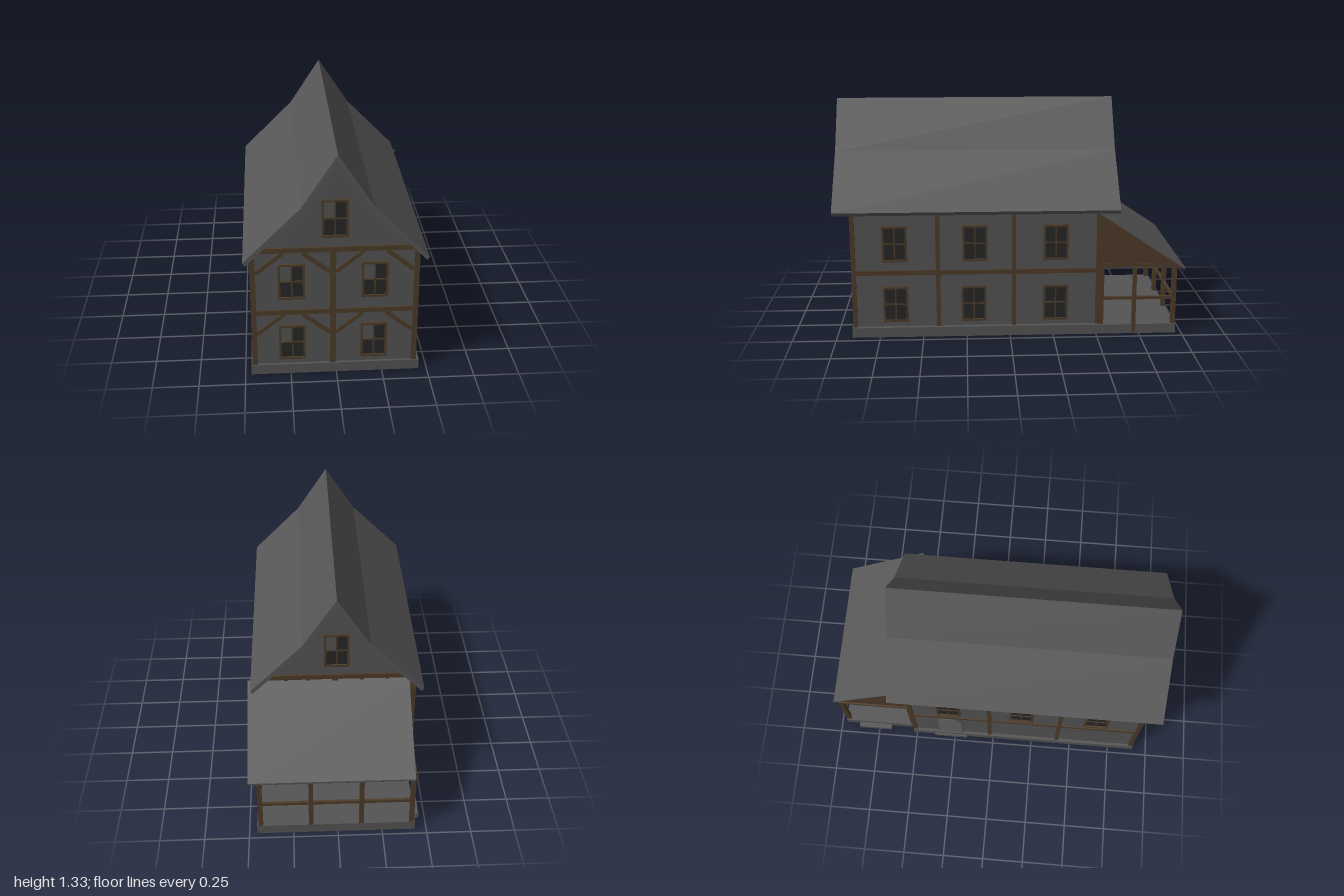
import * as THREE from 'three';

const mat = (name, color, side = THREE.FrontSide) => {
  const m = new THREE.MeshStandardMaterial({ color, side });
  m.name = name;
  return m;
};

export function createModel() {
  const stone = mat('stone grey', 0x545454);
  const plaster = mat('plaster grey', 0x545454);
  const shingle = mat('roof grey', 0x565656);
  const timber = mat('timber brown', 0x4d3c29);
  const glass = mat('dark glass', 0x262626);
  const doorGrey = mat('door grey', 0x666666);

  const model = new THREE.Group();
  model.name = 'timberHouse';

  const add = (parent, name, geo, m) => {
    const mesh = new THREE.Mesh(geo, m);
    mesh.name = name;
    parent.add(mesh);
    return mesh;
  };
  // Box from its min and max corners
  const box = (parent, name, m, x0, x1, y0, y1, z0, z1) => {
    const mesh = add(parent, name, new THREE.BoxGeometry(x1 - x0, y1 - y0, z1 - z0), m);
    mesh.position.set((x0 + x1) / 2, (y0 + y1) / 2, (z0 + z1) / 2);
    return mesh;
  };
  const shapeOf = pts => new THREE.Shape(pts.map(p => new THREE.Vector2(...p)));
  const extrude = (shape, depth) =>
    new THREE.ExtrudeGeometry(shape, { depth, bevelEnabled: false, curveSegments: 12 });
  // Profile of [z, y] points extruded along x
  const extrudeX = (pts, x0, x1) =>
    extrude(shapeOf(pts.map(([z, y]) => [-z, y])), x1 - x0).rotateY(Math.PI / 2).translate(x0, 0, 0);
  // Group whose local xy plane lies on one wall, local z pointing outward
  const facade = (name, x, z, turn) => {
    const g = new THREE.Group();
    g.name = name;
    g.position.set(x, 0, z);
    g.rotation.y = turn;
    model.add(g);
    return g;
  };
  // Slanted timber between two points of a facade
  const brace = (g, x0, y0, x1, y1) => {
    const m = add(g, 'brace', new THREE.BoxGeometry(Math.hypot(x1 - x0, y1 - y0), 0.022, 0.016), timber);
    m.position.set((x0 + x1) / 2, (y0 + y1) / 2, 0);
    m.rotation.z = Math.atan2(y1 - y0, x1 - x0);
  };
  // Four-pane window; the upper left pane can be left empty
  const windowAt = (g, cx, y0, h, w = 0.143, emptyPane = false) => {
    const win = new THREE.Group();
    win.name = 'window';
    win.position.set(cx, y0 + h / 2, 0);
    g.add(win);
    const X = w / 2, Y = h / 2, f = 0.012;
    for (const s of [-1, 1]) {
      box(win, 'frameSide', timber, s * (X - f / 2) - f / 2, s * (X - f / 2) + f / 2, -Y, Y, -0.005, 0.014);
      box(win, 'frameRail', timber, -X + f, X - f, s * (Y - f / 2) - f / 2, s * (Y - f / 2) + f / 2, -0.005, 0.014);
      for (const t of [-1, 1]) {
        if (emptyPane && s < 0 && t > 0) continue;
        box(win, 'pane', glass, Math.min(0, s * (X - f)), Math.max(0, s * (X - f)),
          Math.min(0, t * (Y - f)), Math.max(0, t * (Y - f)), -0.003, 0.004);
      }
    }
    box(win, 'mullion', timber, -0.004, 0.004, -Y + f, Y - f, -0.004, 0.009);
    box(win, 'transom', timber, -X + f, X - f, -0.004, 0.004, -0.004, 0.009);
  };
  // Round-topped door
  const door = (g, name, m, cx, y0, w, h, depth) => {
    const r = w / 2, s = new THREE.Shape();
    s.moveTo(-r, 0);
    s.lineTo(r, 0);
    s.lineTo(r, h - r);
    s.absarc(0, h - r, r, 0, Math.PI, false);
    s.closePath();
    add(g, name, extrude(s, depth), m).position.set(cx, y0, 0);
  };

  // Foundation, steps and porch floor
  box(model, 'foundation', stone, -0.467, 0.455, 0, 0.058, -0.52, 0.91);
  box(model, 'porchFloor', stone, -0.435, 0.455, 0, 0.056, -0.965, -0.52);
  box(model, 'porchStep', stone, -0.465, -0.435, 0, 0.03, -0.88, -0.67);
  box(model, 'doorStep', stone, -0.478, -0.467, 0, 0.03, -0.38, -0.17);

  // House body with gables
  const body = shapeOf([[-0.45, 0.05], [0.43, 0.05], [0.43, 0.765], [0.17, 1.025],
    [-0.005, 1.295], [-0.18, 1.025], [-0.45, 0.765]]);
  add(model, 'walls', extrude(body, 1.405), plaster).position.z = -0.51;

  // Kinked roof
  const roof = shapeOf([[-0.492, 0.742], [-0.48, 0.722], [-0.177, 1.02], [-0.005, 1.287], [0.167, 1.02],
    [0.462, 0.728], [0.472, 0.748], [0.182, 1.042], [-0.005, 1.325], [-0.19, 1.042]]);
  add(model, 'roof', extrude(roof, 1.625), shingle).position.z = -0.625;

  // Front and back timber framing
  const front = facade('frontWall', -0.01, 0.895, 0);
  const back = facade('backWall', -0.01, -0.51, Math.PI);
  for (const g of [front, back]) {
    box(g, 'topBeam', timber, -0.45, 0.45, 0.742, 0.77, -0.02, 0.011);
    box(g, 'middleBeam', timber, -0.435, 0.435, 0.37, 0.397, -0.02, 0.01);
    box(g, 'centrePost', timber, -0.026, 0.006, 0.058, 0.742, -0.02, 0.011);
    for (const y of [0.372, 0.744]) {
      for (const [post, s] of [[-0.42, 1], [-0.026, -1], [0.006, 1], [0.42, -1]]) {
        brace(g, post, y - 0.122, post + s * 0.145, y - 0.006);
      }
    }
    windowAt(g, 0, 0.827, 0.213, 0.14, true);
  }
  for (const x of [-0.23, 0.213]) {
    windowAt(front, x, 0.465, 0.21, 0.143, true);
    windowAt(front, x, 0.09, 0.212, 0.143, true);
  }
  windowAt(back, -0.215, 0.09, 0.212, 0.143, true);
  door(back, 'porchDoor', timber, 0.215, 0.058, 0.13, 0.3, 0.009);

  // Corner posts
  for (const [x0, x1] of [[-0.46, -0.431], [0.411, 0.44]]) {
    for (const [z0, z1] of [[0.88, 0.906], [-0.521, -0.495]]) {
      box(model, 'cornerPost', timber, x0, x1, 0.058, 0.76, z0, z1);
    }
  }

  // Long side framing and windows
  const left = facade('leftWall', 0.43, 0, Math.PI / 2);
  const right = facade('rightWall', -0.45, 0, -Math.PI / 2);
  for (const [g, s] of [[left, -1], [right, 1]]) {
    for (const z of [0.412, -0.022]) {
      box(g, 'sidePost', timber, s * z - 0.012, s * z + 0.012, 0.058, 0.75, -0.02, 0.01);
    }
    const a = Math.min(s * 0.89, s * -0.505);
    box(g, 'sideBeam', timber, a, a + 1.395, 0.37, 0.396, -0.02, 0.009);
    box(g, 'wallPlate', timber, a, a + 1.395, 0.73, 0.757, -0.02, 0.009);
  }
  for (const z of [0.657, 0.2, -0.263]) {
    windowAt(left, -z, 0.45, 0.21);
    windowAt(left, -z + (z === 0.2 ? -0.008 : 0), 0.088, 0.212);
  }
  for (const z of [0.63, 0.175, -0.27]) windowAt(right, z, 0.45, 0.21);
  door(right, 'doorFrame', stone, -0.275, 0.05, 0.175, 0.31, 0.006);
  door(right, 'sideDoor', doorGrey, -0.275, 0.058, 0.145, 0.285, 0.009);

  // Porch lean-to roof with boarded underside and ends
  add(model, 'porchRoof', extrudeX([[-0.51, 0.738], [-0.51, 0.728], [-1, 0.4], [-1, 0.411]], -0.42, 0.49), shingle);
  add(model, 'porchCeiling', extrudeX([[-0.51, 0.728], [-0.51, 0.72], [-0.995, 0.395], [-0.998, 0.401]], -0.418, 0.488), timber);
  for (const x of [-0.418, 0.43]) {
    add(model, 'porchGable', extrudeX([[-0.515, 0.72], [-0.515, 0.415], [-0.955, 0.415], [-0.955, 0.425]], x, x + 0.012), timber);
  }

  // Porch posts, beams and rails
  for (let i = 0; i < 4; i++) {
    const x = -0.415 + i * 0.283;
    box(model, 'porchPost', timber, x - 0.013, x + 0.013, 0.05, 0.425, -0.964, -0.938);
  }
  for (const x of [-0.415, 0.434]) {
    box(model, 'porchWallPost', timber, x - 0.012, x + 0.012, 0.05, 0.42, -0.543, -0.521);
    box(model, 'porchSideBeam', timber, x - 0.011, x + 0.011, 0.402, 0.424, -0.94, -0.515);
  }
  box(model, 'porchMiddlePost', timber, 0.436, 0.458, 0.004, 0.41, -0.73, -0.708);
  box(model, 'porchBackBeam', timber, -0.428, 0.447, 0.405, 0.427, -0.962, -0.94);
  box(model, 'porchBackRail', timber, -0.415, 0.434, 0.204, 0.221, -0.958, -0.943);
  box(model, 'porchSideRail', timber, 0.426, 0.442, 0.204, 0.221, -0.95, -0.52);

  return model;
}
